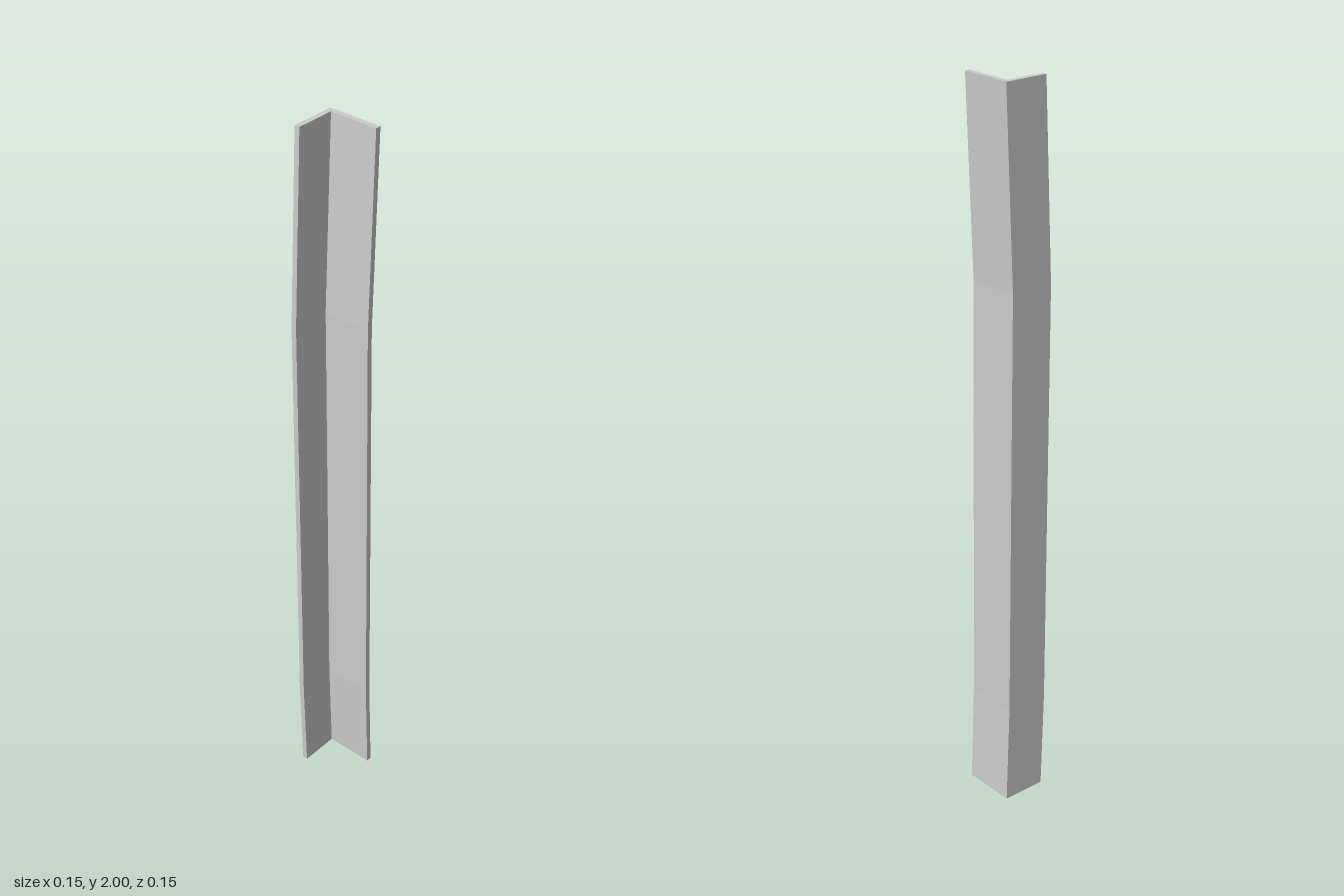
import * as THREE from 'three';

// Height and sideways offset of the bar at each bend
const stations = [[0, 0], [0.28, -0.01], [1.47, -0.021], [2, 0]];

export function createModel() {
  const group = new THREE.Group();
  group.name = 'bentAngleBar';

  // L-shaped section: one leg across the back, one running forward on the left
  const x0 = -0.052, x1 = 0.0725, d = 0.076, t = 0.015;
  const section = new THREE.Shape([
    [x0, d], [x0, d - t], [x1 - t, d - t], [x1 - t, -d], [x1, -d], [x1, d],
  ].map(([x, y]) => new THREE.Vector2(x, y)));

  // One extrusion step per straight run, stood upright
  const runs = stations.length - 1;
  const geometry = new THREE.ExtrudeGeometry(section, { depth: runs, steps: runs, bevelEnabled: false });
  geometry.rotateX(-Math.PI / 2);

  // Move every ring to its height and offset
  const pos = geometry.attributes.position;
  for (let i = 0; i < pos.count; i++) {
    const [y, dx] = stations[Math.round(pos.getY(i))];
    pos.setX(i, pos.getX(i) + dx);
    pos.setY(i, y);
  }
  geometry.computeVertexNormals();

  const bar = new THREE.Mesh(geometry, new THREE.MeshStandardMaterial({ color: 0xcccccc, flatShading: true }));
  bar.name = 'angleBar';
  group.add(bar);
  return group;
}
